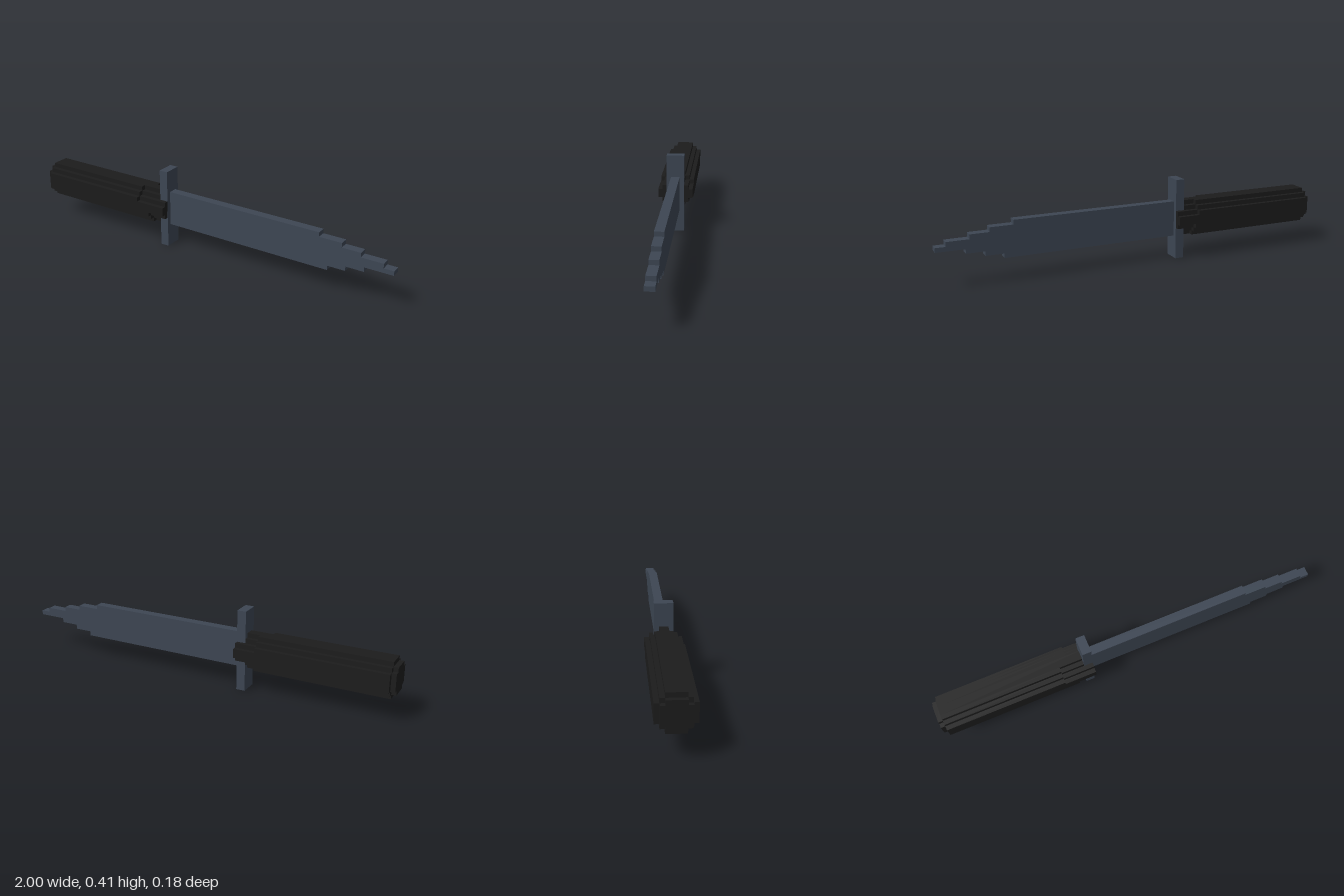
import * as THREE from 'three';

const U = 0.0225; // step size of the blocky profile
const CY = 0.206; // height of the long axis

const steel = new THREE.MeshStandardMaterial({ color: 0x3d4653 });
steel.name = 'blue grey steel';
const grip = new THREE.MeshStandardMaterial({ color: 0x1c1c1c });
grip.name = 'black grip';

function addMesh(parent, name, geometry, material) {
  const mesh = new THREE.Mesh(geometry, material);
  mesh.name = name;
  parent.add(mesh);
  return mesh;
}

function addBox(parent, name, material, [x0, x1], [y0, y1], [z0, z1]) {
  const geo = new THREE.BoxGeometry(x1 - x0, y1 - y0, z1 - z0);
  geo.translate((x0 + x1) / 2, (y0 + y1) / 2, (z0 + z1) / 2);
  return addMesh(parent, name, geo, material);
}

// Prism along x whose stepped section is mirrored into four quadrants.
// steps: [half width, half height] in units, widest first.
function steppedPrism(steps, x0, x1) {
  const quarter = [];
  steps.forEach(([w, h], i) => {
    quarter.push([w, i ? steps[i - 1][1] : 0], [w, h]);
  });
  quarter.shift();
  const flip = (a, sx, sy) => a.map(([x, y]) => [x * sx, y * sy]);
  const back = [...quarter].reverse();
  const points = [
    ...quarter, ...flip(back, -1, 1), ...flip(quarter, -1, -1), ...flip(back, 1, -1),
  ].map(([x, y]) => new THREE.Vector2(x * U, y * U));
  const geo = new THREE.ExtrudeGeometry(new THREE.Shape(points), { depth: x1 - x0, bevelEnabled: false });
  geo.rotateY(Math.PI / 2);
  geo.translate(x0, CY, 0);
  return geo;
}

export function createModel() {
  const model = new THREE.Group();
  model.name = 'dagger';

  // Blade: flat plate with a stair-stepped point
  const top = [[0.63, 4], [0.745, 3], [0.84, 2], [0.95, 1], [1, 0]];
  const bottom = [[0.68, -4], [0.77, -3], [0.86, -2], [1, -1]];
  const outline = [[-0.22, -4]];
  bottom.forEach(([x, y], i) => {
    outline.push([x, y], [x, i < 3 ? bottom[i + 1][1] : 0]);
  });
  [...top].reverse().slice(1).forEach(([x, y]) => {
    outline.push([x, y - 1], [x, y]);
  });
  outline.push([-0.22, 4]);
  const bladeShape = new THREE.Shape(outline.map(([x, y]) => new THREE.Vector2(x, CY + y * U)));
  const bladeGeo = new THREE.ExtrudeGeometry(bladeShape, { depth: 2 * U, bevelEnabled: false });
  bladeGeo.translate(0, 0, -U);
  addMesh(model, 'blade', bladeGeo, steel);

  // Cross guard
  addBox(model, 'guard', steel, [-0.254, -0.209], [0, 0.411], [-0.0455, 0.0455]);

  // Handle: slim core, with corner ribs that stop short of the guard
  const handle = new THREE.Group();
  handle.name = 'handle';
  model.add(handle);
  addMesh(handle, 'handleCore', steppedPrism([[4, 1], [3, 2], [2, 3], [1, 4]], -0.977, -0.21), grip);
  addMesh(handle, 'pommelCap', steppedPrism([[3, 2], [2, 3]], -1, -0.97), grip);
  const ribs = [
    { sz: 1, sy: 1, end: -0.37 }, { sz: 1, sy: -1, end: -0.3 },
    { sz: -1, sy: 1, end: -0.32 }, { sz: -1, sy: -1, end: -0.3 },
  ];
  for (const { sz, sy, end } of ribs) {
    for (const [z, y] of [[3.5, 1.5], [2.5, 2.5], [1.5, 3.5]]) {
      const cy = CY + sy * y * U;
      const cz = sz * z * U;
      addBox(handle, 'cornerRib', grip, [-0.977, end], [cy - U / 2, cy + U / 2], [cz - U / 2, cz + U / 2]);
    }
  }
  return model;
}
